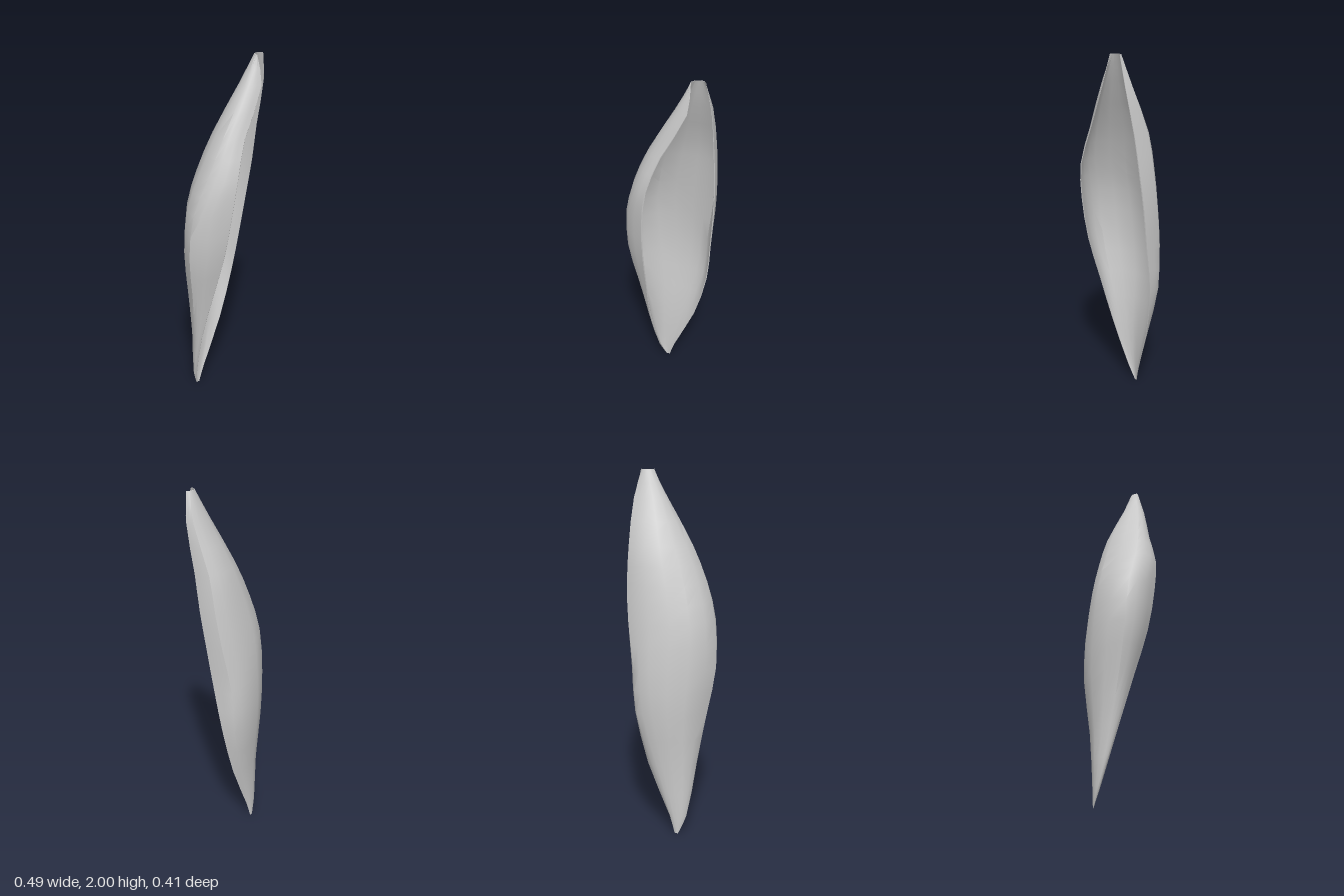
import * as THREE from 'three';
import { toCreasedNormals } from 'three/addons/utils/BufferGeometryUtils.js';

// Height, then seven [x, z] points around the husk:
// left rim, left shoulder, left wall, back, right wall, right shoulder, right rim
const SECTIONS = [
  [0.0, [-0.09, -0.125], [-0.092, -0.126], [-0.092, -0.127], [-0.085, -0.13], [-0.078, -0.13], [-0.075, -0.129], [-0.072, -0.128]],
  [0.1, [-0.115, -0.09], [-0.127, -0.092], [-0.13, -0.10], [-0.11, -0.125], [-0.07, -0.135], [-0.05, -0.133], [-0.04, -0.125]],
  [0.4, [-0.14, 0.0], [-0.155, -0.01], [-0.163, -0.04], [-0.12, -0.125], [-0.01, -0.158], [0.05, -0.155], [0.09, -0.13]],
  [0.7, [-0.12, 0.085], [-0.175, 0.06], [-0.208, 0.01], [-0.13, -0.145], [0.03, -0.197], [0.135, -0.18], [0.17, -0.12]],
  [0.95, [-0.10, 0.155], [-0.19, 0.12], [-0.245, 0.04], [-0.15, -0.135], [0.05, -0.198], [0.155, -0.175], [0.20, -0.09]],
  [1.2, [-0.08, 0.195], [-0.185, 0.145], [-0.228, 0.06], [-0.15, -0.11], [0.06, -0.17], [0.195, -0.145], [0.225, -0.06]],
  [1.4, [-0.05, 0.205], [-0.115, 0.178], [-0.165, 0.10], [-0.105, -0.075], [0.09, -0.14], [0.215, -0.115], [0.238, -0.03]],
  [1.6, [0.02, 0.17], [-0.035, 0.155], [-0.075, 0.11], [-0.03, -0.035], [0.12, -0.098], [0.22, -0.08], [0.24, 0.0]],
  [1.85, [0.15, 0.14], [0.10, 0.13], [0.07, 0.10], [0.085, 0.035], [0.16, 0.005], [0.23, 0.01], [0.24, 0.05]],
  [2.0, [0.15, 0.10], [0.147, 0.092], [0.15, 0.085], [0.16, 0.065], [0.19, 0.055], [0.205, 0.06], [0.215, 0.07]],
];
const ARC = 12;      // facets around the husk
const ROWS = 18;     // facets along its height

// Each of the seven guide lines becomes a curve running from tip to tip
const guides = [1, 2, 3, 4, 5, 6, 7].map((k) => new THREE.CatmullRomCurve3(
  SECTIONS.map((s) => new THREE.Vector3(s[k][0], s[0], s[k][1])), false, 'centripetal'));

// Outer arc at one height
function outerArc(v) {
  const across = new THREE.CatmullRomCurve3(guides.map((g) => g.getPoint(v)), false, 'centripetal');
  return across.getPoints(ARC);
}

// Inner arc: the outer one drawn towards the opening, thin walled, thicker near the foot
function innerArc(arc, i) {
  const middle = arc[0].clone().add(arc[ARC]).multiplyScalar(0.5);
  const fill = 0.07 + 0.2 * Math.max(0, 1 - 2.5 * i / ROWS);
  return arc.map((p, j) => p.clone().lerp(middle, 0.03 + fill * Math.sin(Math.PI * j / ARC)));
}

// Surface through a list of equally long rows of points
function skin(rows, flip) {
  const n = rows[0].length;
  const index = [];
  for (let i = 0; i < rows.length - 1; i++) {
    for (let j = 0; j < n - 1; j++) {
      const a = i * n + j, b = a + 1, c = a + n, d = c + 1;
      if (flip) index.push(a, b, c, b, d, c);
      else index.push(a, c, b, b, c, d);
    }
  }
  const geometry = new THREE.BufferGeometry().setFromPoints(rows.flat());
  geometry.setIndex(index);
  return toCreasedNormals(geometry, 0.6);
}

export function createModel() {
  const group = new THREE.Group();
  group.name = 'husk';
  const material = new THREE.MeshStandardMaterial({ color: 0xcccccc, side: THREE.DoubleSide });
  const add = (name, rows, flip = false) => {
    const mesh = new THREE.Mesh(skin(rows, flip), material);
    mesh.name = name;
    group.add(mesh);
  };

  const outer = Array.from({ length: ROWS + 1 }, (_, i) => outerArc(i / ROWS));
  const inner = outer.map(innerArc);

  add('outerShell', outer);
  add('innerHollow', inner, true);
  // Lips joining the two skins along both rims and at the tips
  add('leftRim', outer.map((row, i) => [inner[i][0], row[0]]));
  add('rightRim', outer.map((row, i) => [row[ARC], inner[i][ARC]]));
  add('topLip', [outer[ROWS], inner[ROWS]]);
  add('bottomTip', [inner[0], outer[0]]);
  return group;
}
